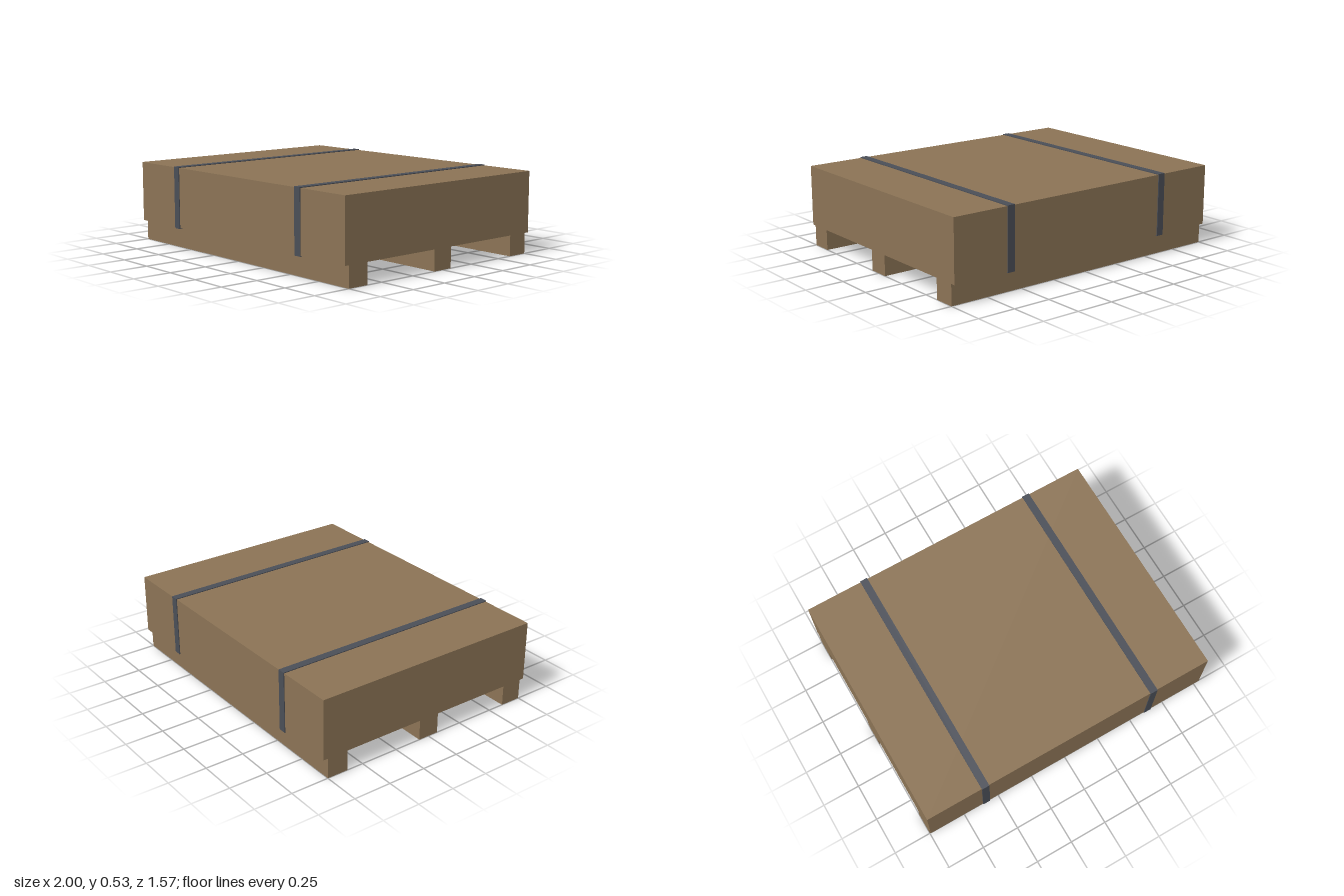
import * as THREE from 'three';

export function createModel() {
  const model = new THREE.Group();
  model.name = 'strappedCrate';

  const wood = new THREE.MeshStandardMaterial({ color: 0x8b7355 });
  wood.name = 'brown wood';
  const steel = new THREE.MeshStandardMaterial({ color: 0x4a4e57 });
  steel.name = 'dark steel';

  const addBox = (name, material, size, position) => {
    const mesh = new THREE.Mesh(new THREE.BoxGeometry(...size), material);
    mesh.name = name;
    mesh.position.set(...position);
    model.add(mesh);
  };

  // Crate body
  const bottom = 0.132, top = 0.523, halfDepth = 0.78;
  const height = top - bottom, middle = (top + bottom) / 2;
  addBox('crateBody', wood, [2, height, halfDepth * 2], [0, middle, 0]);

  // Three full-length skids under the body
  [['backSkid', -0.68], ['middleSkid', 0], ['frontSkid', 0.68]].forEach(([name, z]) =>
    addBox(name, wood, [2, bottom, 0.14], [0, bottom / 2, z]));

  // Two thin straps, each wrapped round all four sides of the body
  const t = 0.005, width = 0.05;
  for (const [side, x] of [['right', -0.6], ['left', 0.6]]) {
    for (const s of [-1, 1]) {
      addBox(`${side}Strap${s > 0 ? 'Front' : 'Back'}`, steel,
        [width, height + 2 * t, t], [x, middle, s * (halfDepth + t / 2)]);
      addBox(`${side}Strap${s > 0 ? 'Top' : 'Bottom'}`, steel,
        [width, t, halfDepth * 2], [x, middle + s * (height + t) / 2, 0]);
    }
  }

  return model;
}
